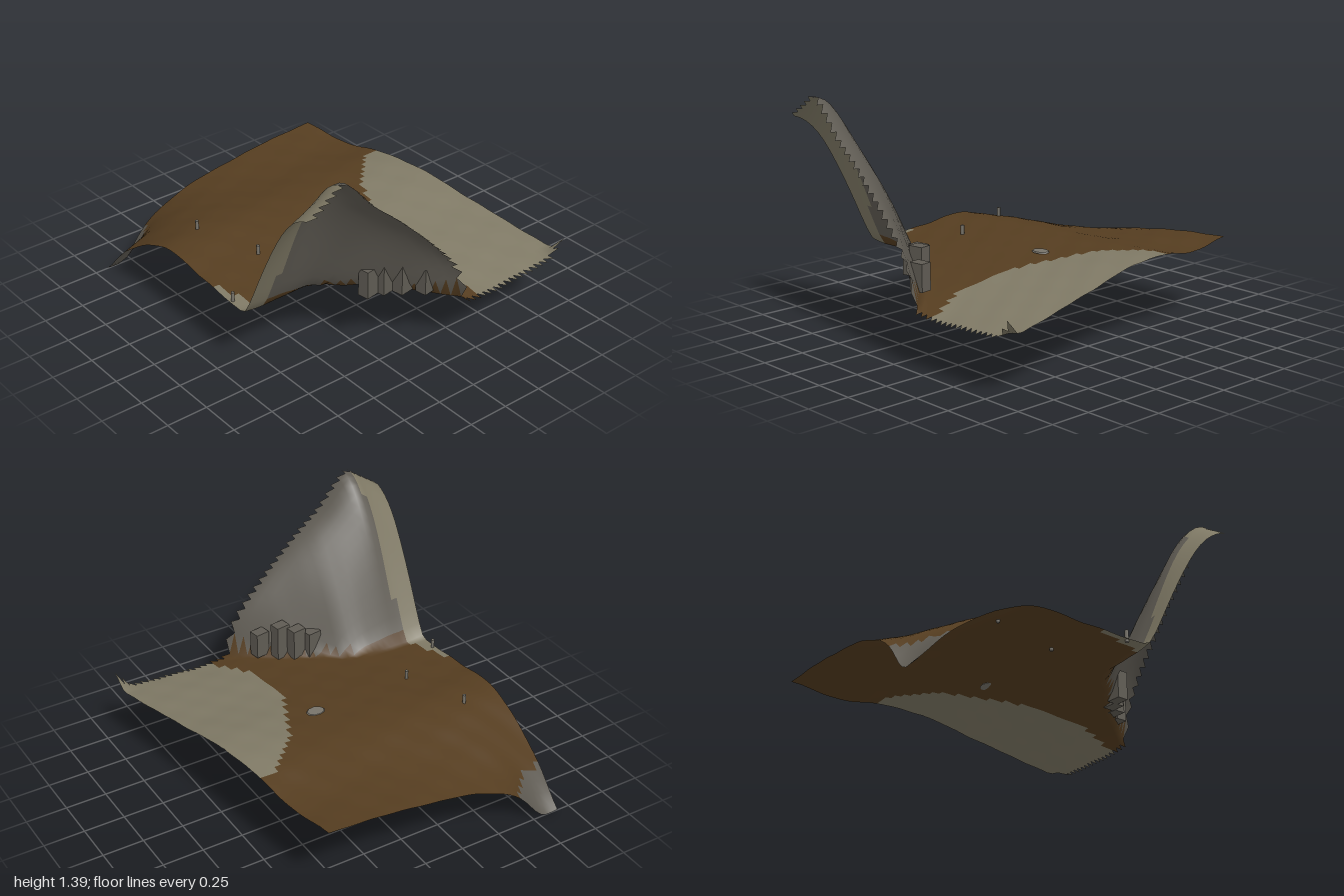
import * as THREE from 'three';

const NX = 48, NZ = 46, W = 2, D = 1.84;

// Piecewise linear curve through [input, output] points
function along(points, v) {
  if (v <= points[0][0]) return points[0][1];
  for (let i = 1; i < points.length; i++) {
    const [a, fa] = points[i - 1], [b, fb] = points[i];
    if (v <= b) return fa + (fb - fa) * (v - a) / (b - a);
  }
  return points[points.length - 1][1];
}

// Rolling ground: coarse heights, rows from back to front, columns from -x to +x
const GROUND = [
  [0.52, 0.50, 0.53, 0.52, 0.47, 0.42, 0.37],
  [0.505, 0.48, 0.53, 0.52, 0.46, 0.41, 0.35],
  [0.48, 0.48, 0.52, 0.50, 0.45, 0.40, 0.335],
  [0.44, 0.46, 0.51, 0.49, 0.45, 0.41, 0.38],
  [0.38, 0.45, 0.51, 0.49, 0.45, 0.42, 0.38],
  [0.25, 0.42, 0.51, 0.48, 0.45, 0.43, 0.40],
  [0.06, 0.33, 0.49, 0.47, 0.44, 0.44, 0.42],
];
function spline(p, t) {
  const n = p.length - 1, i = Math.min(n - 1, Math.max(0, Math.floor(t))), f = t - i;
  const b = p[i], c = p[i + 1], a = i > 0 ? p[i - 1] : 2 * b - c, d = i < n - 1 ? p[i + 2] : 2 * c - b;
  return b + 0.5 * f * (c - a + f * (2 * a - 5 * b + 4 * c - d + f * (3 * (b - c) + d - a)));
}

// Mountain: foot line (x for each z) and rise at the open side
const FOOT = [[-0.18, 0.97], [0.1, 0.7], [0.3, 0.55], [0.4, 0.47], [0.5, 0.43], [0.75, 0.42], [0.92, 0.4]];
const RISE = [[-0.19, 0], [-0.14, 0.18], [-0.1, 0.25], [0, 0.36], [0.1, 0.46], [0.3, 0.66], [0.5, 0.82],
  [0.63, 0.96], [0.7, 1.02], [0.78, 0.95], [0.92, 0.85]];
function mountain(x, z) {
  const foot = along(FOOT, z);
  if (x <= foot || z < -0.19) return 0;
  const t = Math.pow(Math.min(1, (x - foot) / (1 - foot)), 0.7);
  return along(RISE, z) * t * t * (3 - 2 * t);
}

function height(x, z) {
  const u = (x + 1) / W * 6, v = (z + D / 2) / D * 6;
  let y = spline(GROUND.map(row => spline(row, u)), v);
  y -= 0.1 * Math.exp(-((x + 1) ** 2 + (z - 0.8) ** 2) / 0.0144);     // low corner
  y += 0.11 * Math.exp(-((x - 1) ** 2 + (z + 0.92) ** 2) / 0.003);    // upturned tip
  y += 0.003 * Math.sin(x * 23 + z * 9) * Math.sin(z * 19 - x * 5);   // slight roughness
  return Math.max(0, y + mountain(x, z));
}

const backEdge = x => -0.63 - 0.145 * (x + 1);
const BACK_SAND = [[-0.44, -2], [-0.43, -0.72], [-0.4, -0.6], [-0.3, -0.5], [-0.15, -0.38], [0, -0.3],
  [0.15, -0.22], [0.3, -0.17], [0.6, -0.16], [0.75, -0.19], [0.97, -0.3]];
const FRONT_SAND = [[0.08, 2], [0.1, 0.91], [0.42, 0.8], [0.6, 0.77], [0.97, 0.72]];

// 0 soil, 1 sand, 2 rock
function surface(x, z) {
  if (z < along(BACK_SAND, x) || z > along(FRONT_SAND, x)) return 1;
  return mountain(x, z) > 0.03 || height(x, z) < 0.24 ? 2 : 0;
}

function terrainGeometry() {
  const pos = [], lists = [[], [], []], row = NX + 1;
  for (let j = 0; j <= NZ; j++) {
    for (let i = 0; i <= NX; i++) {
      const x = -1 + W * i / NX, z = Math.max(backEdge(x), -D / 2 + D * j / NZ);
      pos.push(x, height(x, z), z);
    }
  }
  for (let j = 0; j < NZ; j++) {
    for (let i = 0; i < NX; i++) {
      const x = -1 + W * (i + 0.5) / NX, z = -D / 2 + D * (j + 0.5) / NZ;
      if (z + D / NZ / 2 <= backEdge(x)) continue;
      const a = j * row + i, b = a + 1, c = a + row, d = c + 1;
      const list = lists[surface(x, z)];
      list.push(a, c, b);
      if (i < NX - 1) list.push(b, c, d); // last column stays a saw-tooth edge
    }
  }
  const g = new THREE.BufferGeometry();
  g.setAttribute('position', new THREE.Float32BufferAttribute(pos, 3));
  g.setIndex(lists.flat());
  let start = 0;
  lists.forEach((list, k) => {
    g.addGroup(start, list.length, k);
    start += list.length;
  });
  g.computeVertexNormals();
  return g;
}

export function createModel() {
  const model = new THREE.Group();
  model.name = 'terrain';
  const mat = (name, color) => new THREE.MeshStandardMaterial({ name, color, side: THREE.DoubleSide });
  const soil = mat('soil', 0x553d20), sand = mat('sand', 0x7f7965), rock = mat('rock', 0x5f5b53);
  const post = mat('post', 0x77736a);

  const add = (name, geometry, material, x, y, z) => {
    const m = new THREE.Mesh(geometry, material);
    m.name = name;
    m.position.set(x, y, z);
    model.add(m);
    return m;
  };

  add('landscape', terrainGeometry(), [soil, sand, rock], 0, 0, 0);

  // Marker posts
  for (const [x, z] of [[-0.38, 0.67], [0.03, 0.54], [0.28, 0.9]]) {
    add('markerPost', new THREE.CylinderGeometry(0.011, 0.011, 0.07, 6), post, x, height(x, z) + 0.02, z);
  }

  // Boulders at the foot of the cliff
  for (const [x, z, h] of [[0.65, 0.25, 0.17], [0.68, 0.16, 0.2], [0.74, 0.08, 0.22], [0.82, -0.02, 0.16]]) {
    add('cliffBlock', new THREE.BoxGeometry(0.07, h, 0.09), rock, x, 0.41 + h / 2, z).rotation.y = 0.15;
  }

  // Flat stone lying in the soil
  const stone = add('flatStone', new THREE.CylinderGeometry(0.04, 0.045, 0.008, 9), post, 0, height(0, -0.11) + 0.003, -0.11);
  stone.scale.z = 1.3;
  return model;
}
